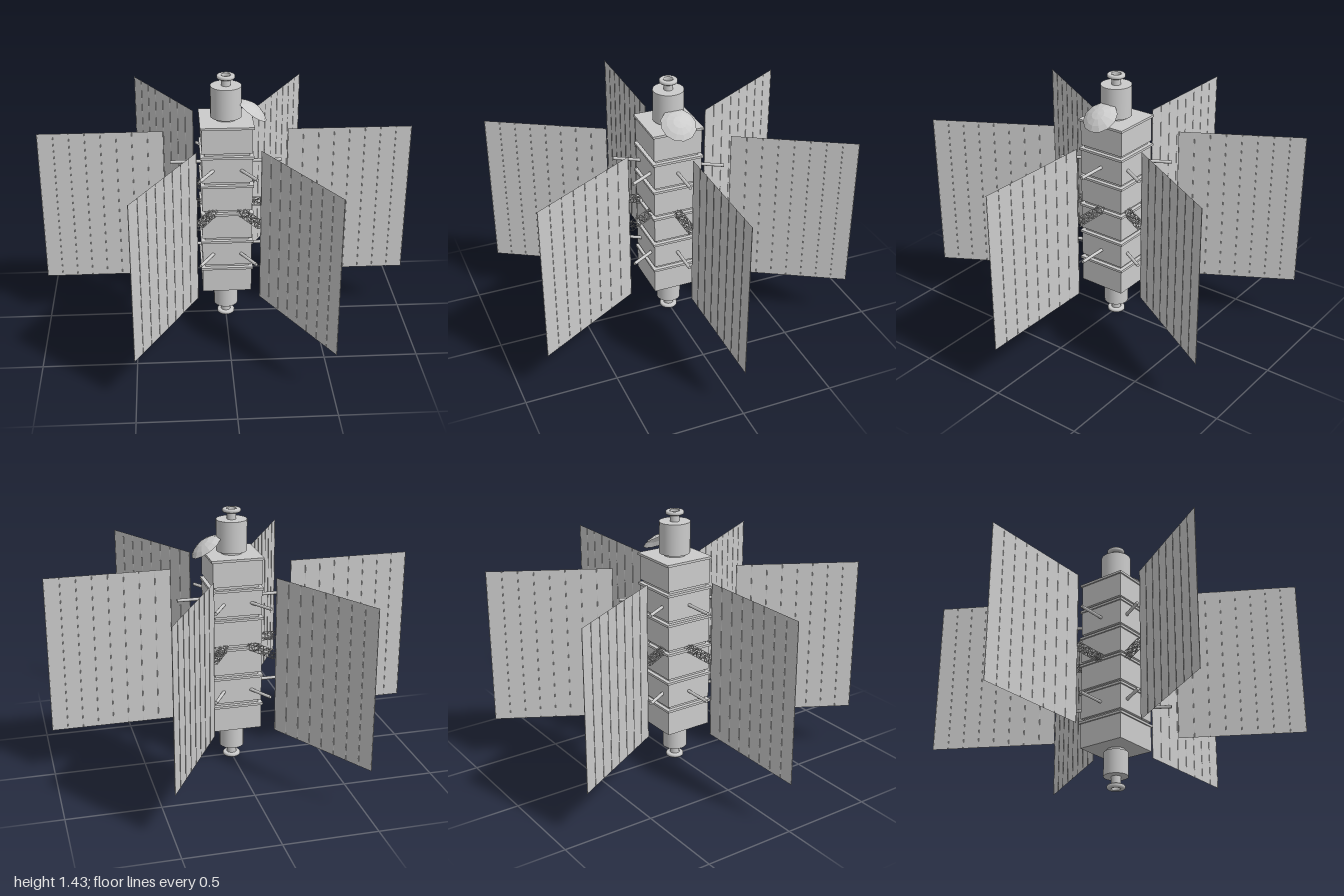
import * as THREE from 'three';

const grey = new THREE.MeshStandardMaterial({ color: 0xcccccc });
const thin = new THREE.MeshStandardMaterial({ color: 0xcccccc, side: THREE.DoubleSide });
const faceted = new THREE.MeshStandardMaterial({ color: 0xcccccc, side: THREE.DoubleSide, flatShading: true });

function add(parent, name, geometry, x = 0, y = 0, z = 0, material = grey) {
  const mesh = new THREE.Mesh(geometry, material);
  mesh.name = name;
  mesh.position.set(x, y, z);
  parent.add(mesh);
  return mesh;
}

// Round bar between two points
function bar(parent, name, a, b, radius, sides = 8) {
  const dir = b.clone().sub(a);
  const mesh = add(parent, name, new THREE.CylinderGeometry(radius, radius, dir.length(), sides));
  mesh.position.copy(a).addScaledVector(dir, 0.5);
  mesh.quaternion.setFromUnitVectors(new THREE.Vector3(0, 1, 0), dir.normalize());
  return mesh;
}

// Hollow docking stem with a ring flange, growing up from y = 0
function dockingPort(name, height) {
  const group = new THREE.Group();
  group.name = name;
  add(group, 'stem', new THREE.CylinderGeometry(0.025, 0.025, height, 20, 1, true), 0, height / 2, 0, thin);
  const ring = [[0.028, -0.02], [0.044, -0.02], [0.049, -0.015], [0.049, -0.005], [0.044, 0],
    [0.028, 0], [0.024, -0.005], [0.024, -0.015], [0.028, -0.02]];
  add(group, 'flange', new THREE.LatheGeometry(ring.map(([r, y]) => new THREE.Vector2(r, y)), 24), 0, height, 0);
  return group;
}

// Open lattice boom along +x
function truss(x0, x1, y) {
  const group = new THREE.Group();
  group.name = 'trussBoom';
  const h = 0.017, bays = 6, r = 0.0018;
  const corners = [[-h, -h], [h, -h], [h, h], [-h, h]];
  const point = (x, [dy, dz]) => new THREE.Vector3(x, y + dy, dz);
  corners.forEach((c, i) => {
    const next = corners[(i + 1) % 4];
    bar(group, 'longeron', point(x0, c), point(x1, c), r, 4);
    for (let k = 0; k <= bays; k++) {
      const xa = x0 + (x1 - x0) * k / bays, xb = x0 + (x1 - x0) * (k + 1) / bays;
      bar(group, 'crossBar', point(xa, c), point(xa, next), r, 4);
      if (k < bays) bar(group, 'diagonal', point(xa, k % 2 ? c : next), point(xb, k % 2 ? next : c), r, 4);
    }
  });
  return group;
}

// One radial arm along +x: thin panel with ribs, two rods and a truss
function solarWing() {
  const group = new THREE.Group();
  group.name = 'solarWing';
  const inner = 0.333, outer = 0.998, bottom = 0.265, top = 1.125, cells = 8;
  const middle = (bottom + top) / 2, height = top - bottom;
  add(group, 'panel', new THREE.PlaneGeometry(outer - inner, height), (inner + outer) / 2, middle, 0, thin);
  for (let i = 0; i <= cells; i++) {
    add(group, 'panelRib', new THREE.CylinderGeometry(0.002, 0.002, height, 6),
      inner + (outer - inner) * i / cells, middle, 0);
  }
  for (const y of [0.447, 0.947]) {
    bar(group, 'rod', new THREE.Vector3(0.1, y, 0), new THREE.Vector3(0.3, y, 0), 0.009, 10);
  }
  group.add(truss(0.12, inner, 0.7));
  return group;
}

export function createModel() {
  const model = new THREE.Group();
  model.name = 'spaceStation';

  // Square tower of six modules, each capped by a wider ledge
  add(model, 'core', new THREE.BoxGeometry(0.24, 0.97, 0.24), 0, 0.7, 0);
  for (let i = 0; i < 6; i++) {
    const y = 0.358 + i * 0.1658;
    add(model, 'ledge', new THREE.BoxGeometry(0.284, 0.013, 0.284), 0, y, 0);
    add(model, 'module', new THREE.BoxGeometry(0.268, 0.137, 0.268), 0, y - 0.0745, 0);
  }

  // Upper and lower drums with docking ports
  add(model, 'upperNeck', new THREE.CylinderGeometry(0.06, 0.06, 0.04, 24), 0, 1.197, 0);
  add(model, 'upperDrum', new THREE.CylinderGeometry(0.083, 0.083, 0.17, 24), 0, 1.292, 0);
  add(model, 'lowerNeck', new THREE.CylinderGeometry(0.05, 0.05, 0.04, 24), 0, 0.205, 0);
  add(model, 'lowerDrum', new THREE.CylinderGeometry(0.067, 0.067, 0.132, 24), 0, 0.133, 0);
  const upperPort = dockingPort('upperPort', 0.065);
  upperPort.position.y = 1.37;
  const lowerPort = dockingPort('lowerPort', 0.075);
  lowerPort.position.y = 0.075;
  lowerPort.rotation.x = Math.PI;
  model.add(upperPort, lowerPort);

  // Shallow faceted dish leaning away from the upper drum
  const profile = [[0, 0.035], [0.035, 0.031], [0.068, 0.018], [0.096, 0]];
  const dish = add(model, 'dish',
    new THREE.LatheGeometry(profile.map(([r, y]) => new THREE.Vector2(r, y)), 12), 0.138, 1.234, 0, faceted);
  dish.rotation.z = -0.62;

  // Six wings around the tower
  for (let i = 0; i < 6; i++) {
    const wing = solarWing();
    wing.rotation.y = i * Math.PI / 3;
    model.add(wing);
  }
  return model;
}
